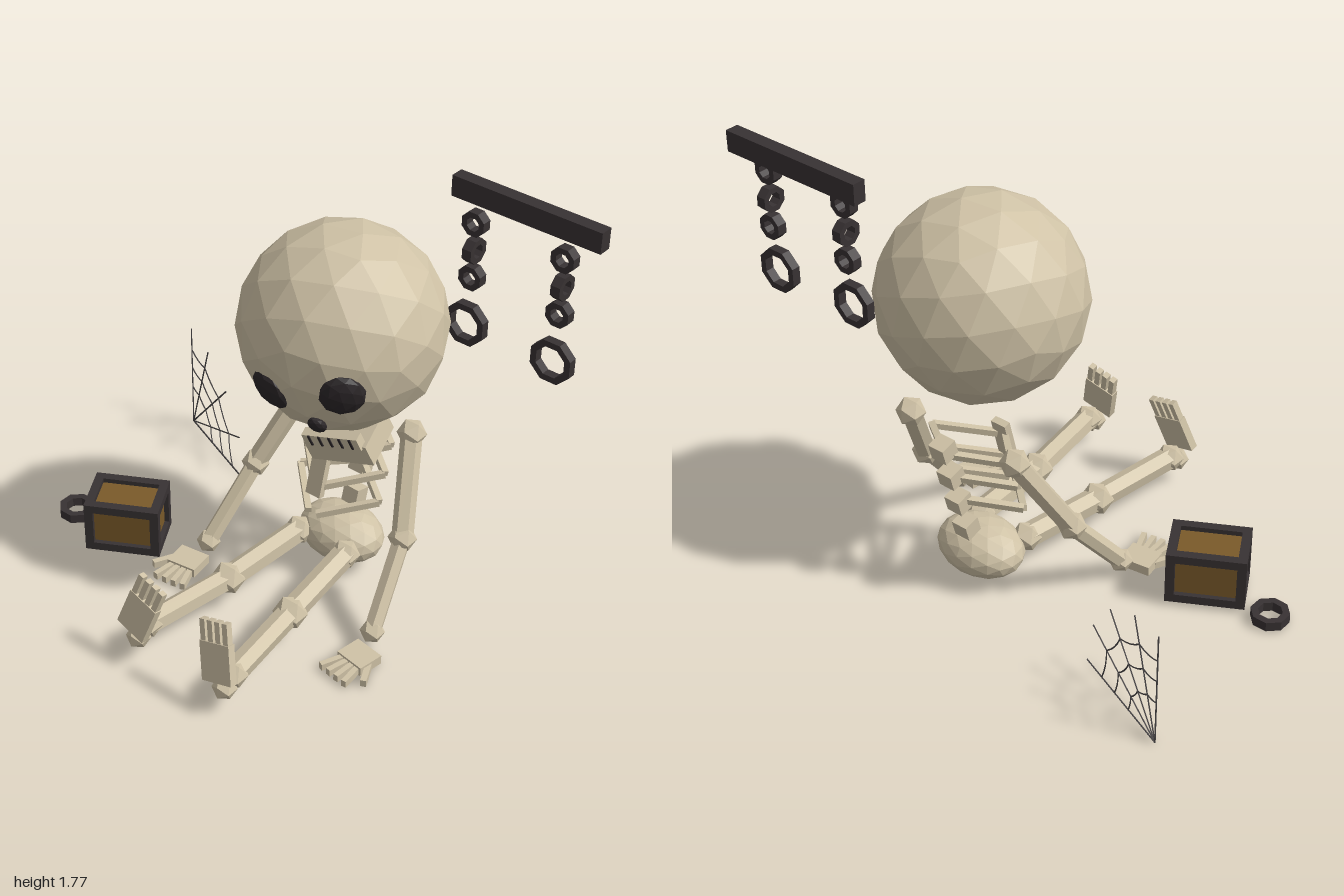
import * as THREE from 'three';

const V = (x, y, z) => new THREE.Vector3(x, y, z);
const MID = 0.1; // mirror plane of the skeleton

export function createModel() {
  const model = new THREE.Group();
  model.name = 'chainedSkeleton';
  const mat = (name, color) => {
    const m = new THREE.MeshStandardMaterial({ color, flatShading: true });
    m.name = name;
    return m;
  };
  const bone = mat('bone', 0xcfc2a6);
  const socket = mat('socketDark', 0x2b2628);
  const iron = mat('darkIron', 0x383233);
  const wood = mat('wood', 0x7a5a2a);
  const web = mat('webGrey', 0x4a4748);

  const add = (name, geo, material, pos, parent = model) => {
    const m = new THREE.Mesh(geo, material);
    m.name = name;
    m.position.copy(pos);
    parent.add(m);
    return m;
  };
  const box = (name, w, h, d, material, pos, parent) =>
    add(name, new THREE.BoxGeometry(w, h, d), material, pos, parent);
  const ball = (name, r, pos, detail = 0) =>
    add(name, new THREE.IcosahedronGeometry(r, detail), bone, pos);
  // Straight rod between two points
  const rod = (name, a, b, r, sides, material) => {
    const d = b.clone().sub(a);
    const m = add(name, new THREE.CylinderGeometry(r, r, d.length(), sides), material,
      a.clone().add(b).multiplyScalar(0.5));
    m.quaternion.setFromUnitVectors(V(0, 1, 0), d.normalize());
    return m;
  };
  // Octagonal ring with a square section, axis along y
  const ring = (name, outer, inner, h, pos) => {
    const p = [[inner, -h / 2], [outer, -h / 2], [outer, h / 2], [inner, h / 2], [inner, -h / 2]]
      .map(([x, y]) => new THREE.Vector2(x, y));
    return add(name, new THREE.LatheGeometry(p, 8, Math.PI / 8), iron, pos);
  };

  // Skull
  const skullPos = V(0.15, 1.22, -0.265);
  const skull = ball('skull', 0.403, skullPos, 2);
  skull.rotation.set(0.3, 0.25, 0.27, 'YXZ');
  [['rightEye', V(0.1, 1.09, 0.085), 0.09, 1], ['leftEye', V(0.39, 1.165, 0.035), 0.088, 1],
    ['nose', V(0.285, 0.99, 0.045), 0.05, 0.7]].forEach(([name, pos, r, sx]) => {
    const e = add(name, new THREE.IcosahedronGeometry(r, 1), socket, pos);
    e.lookAt(pos.clone().multiplyScalar(2).sub(skullPos));
    e.rotateZ(0.27);
    e.scale.set(sx, 1, 0.45);
  });

  // Jaw with teeth
  const jaw = new THREE.Group();
  jaw.name = 'jaw';
  jaw.position.set(0.29, 0.845, -0.14);
  jaw.rotation.set(0.3, 0.25, 0.27, 'YXZ');
  model.add(jaw);
  box('jawBone', 0.27, 0.1, 0.19, bone, V(0, 0, 0), jaw);
  box('teeth', 0.24, 0.06, 0.04, bone, V(0, 0.07, 0.085), jaw);
  for (let i = -2; i <= 2; i++)
    box('toothGap', 0.009, 0.05, 0.006, socket, V(i * 0.044, 0.075, 0.107), jaw);

  // Spine and breastbone
  for (let i = 0; i < 4; i++)
    box('vertebra', 0.072, 0.07, 0.07, bone, V(MID, 0.71 - i * 0.141, -0.552 + i * 0.037))
      .rotation.x = -0.26;
  box('breastbone', 0.07, 0.23, 0.03, bone, V(MID, 0.55, -0.207)).rotation.x = -0.25;

  // Pelvis
  ball('pelvis', 1, V(MID, 0.145, -0.36), 2).scale.set(0.19, 0.112, 0.145);

  // Paired limbs and ribs; s = -1 is the right side
  for (const s of [-1, 1]) {
    const P = (dx, y, z) => V(MID + s * dx, y, z);
    const side = s < 0 ? 'right' : 'left';

    // Ribs bend out from the spine and return to the breastbone
    for (let i = 0; i < 3; i++) {
      const y = -i * 0.122, z = i * 0.032;
      const a = P(0.02, 0.68 + y, -0.53 + z), b = P(0.2, 0.65 + y, -0.4 + z);
      const c = P(0.02, 0.6 + y, -0.23 + z);
      rod(side + 'RibBack', a, b, 0.018, 4, bone);
      rod(side + 'RibFront', b, c, 0.018, 4, bone);
    }

    // Arm
    const shoulder = P(0.26, 0.71, -0.45), elbow = P(0.375, 0.365, -0.26);
    const wrist = P(0.425, 0.075, -0.02);
    rod(side + 'UpperArm', shoulder, elbow, 0.043, 6, bone);
    rod(side + 'Forearm', elbow, wrist, 0.037, 6, bone);
    ball(side + 'Shoulder', 0.06, shoulder);
    ball(side + 'Elbow', 0.058, elbow);
    ball(side + 'Wrist', 0.05, wrist);

    // Hand resting on the ground
    const hand = new THREE.Group();
    hand.name = side + 'Hand';
    hand.position.copy(P(0.445, 0.022, 0.085));
    hand.rotation.y = s * -0.15;
    model.add(hand);
    box('palm', 0.13, 0.04, 0.11, bone, V(0, 0, 0), hand);
    for (let i = 0; i < 4; i++) {
      const f = (i - 1.5);
      box('finger', 0.022, 0.03, 0.1, bone, V(f * 0.035, -0.004, 0.095), hand).rotation.y = f * 0.16;
    }
    box('thumb', 0.024, 0.03, 0.1, bone, V(s * 0.085, -0.004, 0.045), hand).rotation.y = s * 0.6;

    // Leg
    const hip = P(0.12, 0.165, -0.23), knee = P(0.16, 0.14, 0.16), ankle = P(0.218, 0.142, 0.565);
    rod(side + 'Thigh', hip, knee, 0.05, 6, bone);
    rod(side + 'Shin', knee, ankle, 0.048, 6, bone);
    ball(side + 'Hip', 0.062, hip);
    ball(side + 'Knee', 0.07, knee);
    ball(side + 'Ankle', 0.06, ankle);
    ball(side + 'Heel', 0.05, P(0.22, 0.11, 0.615));

    // Foot standing on its heel, toes up
    const foot = new THREE.Group();
    foot.name = side + 'Foot';
    foot.position.copy(P(0.2, 0.235, 0.627));
    foot.rotation.set(-0.24, 0, s * 0.27);
    model.add(foot);
    box('sole', 0.14, 0.16, 0.035, bone, V(0, 0, 0), foot);
    for (let i = 0; i < 4; i++)
      box('toe', 0.024, 0.09, 0.028, bone, V((i - 1.5) * 0.036, 0.12, 0), foot);
  }

  // Wall bar and hanging chains
  box('wallBar', 0.64, 0.085, 0.055, iron, V(0.68, 1.733, -0.647));
  for (const x of [0.485, 0.87]) {
    for (let i = 0; i < 3; i++) {
      const link = ring('chainLink', 0.052, 0.028, 0.04, V(x, 1.63 - i * 0.115, -0.605));
      if (i === 1) link.rotation.z = Math.PI / 2;
      else link.rotation.x = Math.PI / 2;
    }
    ring('shackle', 0.092, 0.065, 0.036, V(x, 1.205, -0.588)).rotation.x = Math.PI / 2;
  }
  ring('floorRing', 0.077, 0.048, 0.04, V(-0.93, 0.025, 0.135));

  // Framed crate
  const crate = new THREE.Group();
  crate.name = 'crate';
  crate.position.set(-0.645, 0.132, 0.12);
  crate.rotation.y = 0.52;
  model.add(crate);
  const size = [0.31, 0.225, 0.225], t = 0.036;
  box('cratePanels', size[0] - 0.04, size[1] - 0.04, size[2] - 0.04, wood, V(0, 0, 0), crate);
  box('crateBase', size[0] - 0.02, 0.02, size[2] - 0.02, iron, V(0, -0.1, 0), crate);
  for (let axis = 0; axis < 3; axis++)
    for (const p of [-1, 1]) for (const q of [-1, 1]) {
      const dim = [t, t, t], pos = [0, 0, 0], u = (axis + 1) % 3, v = (axis + 2) % 3;
      dim[axis] = size[axis];
      pos[u] = p * (size[u] - t) / 2;
      pos[v] = q * (size[v] - t) / 2;
      box('crateBeam', ...dim, iron, V(...pos), crate);
    }

  // Corner cobweb: straight spokes and sagging cross threads
  const webPoint = (angle, r) => {
    const u = Math.cos(angle) * r;
    return V(-0.997 + u * 0.928, 0.004 + Math.sin(angle) * r, -0.673 + u * 0.373);
  };
  const angles = [0, 24, 48, 71, 90].map(THREE.MathUtils.degToRad);
  angles.forEach((a) => rod('webSpoke', webPoint(a, 0), webPoint(a, 0.495), 0.0035, 4, web));
  for (const r of [0.19, 0.29, 0.385])
    for (let i = 0; i < 4; i++) {
      const mid = webPoint((angles[i] + angles[i + 1]) / 2, r * 0.93);
      const curve = new THREE.QuadraticBezierCurve3(webPoint(angles[i], r), mid, webPoint(angles[i + 1], r));
      add('webThread', new THREE.TubeGeometry(curve, 4, 0.003, 4), web, V(0, 0, 0));
    }

  return model;
}
